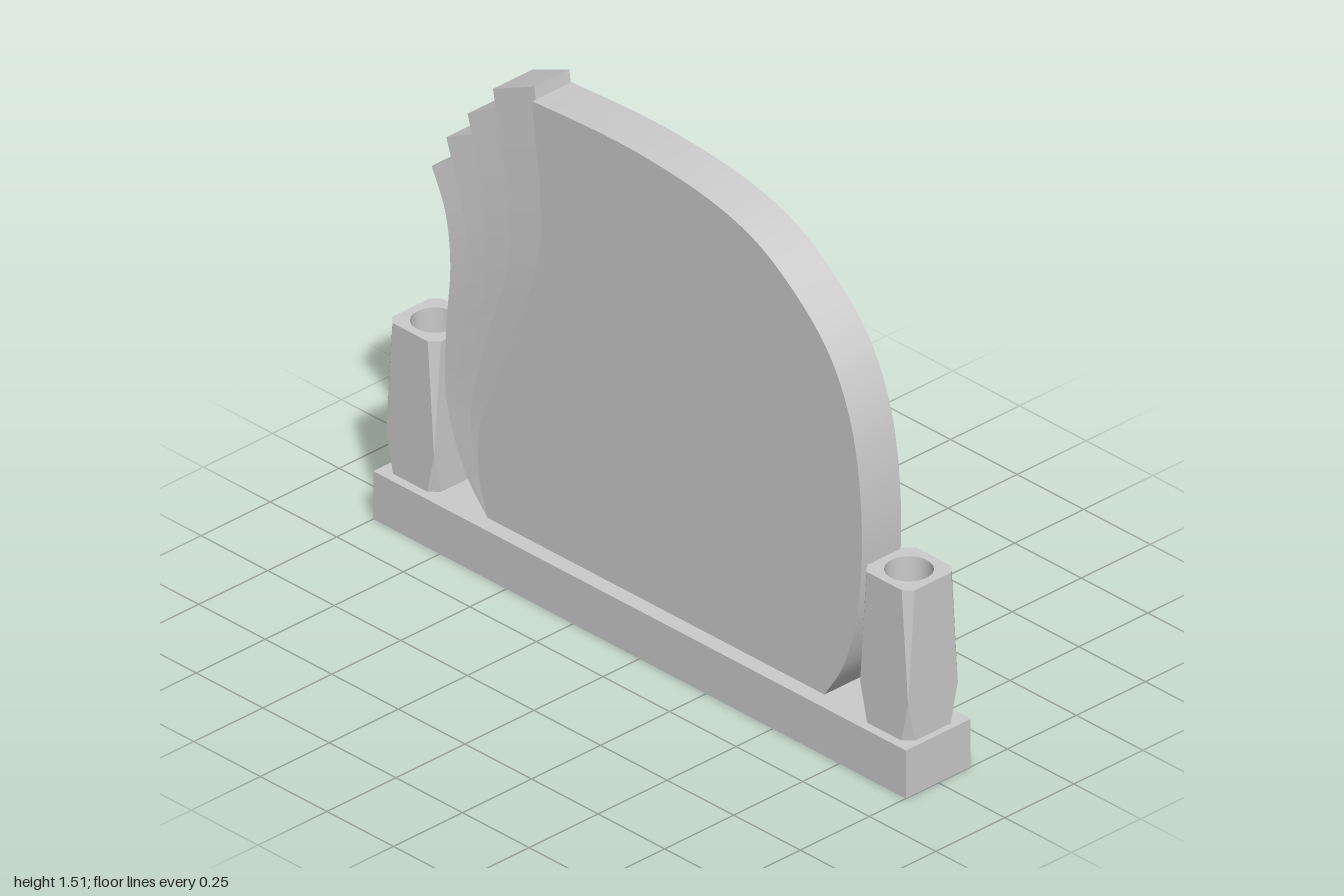
import * as THREE from 'three';
import { toCreasedNormals } from 'three/addons/utils/BufferGeometryUtils.js';

const BASE_TOP = 0.145, BACK = -0.072, FRONT = 0.07;
const material = new THREE.MeshStandardMaterial({ color: 0xcccccc });
const doubleSided = new THREE.MeshStandardMaterial({ color: 0xcccccc, side: THREE.DoubleSide });

function add(parent, name, geometry, mat = material) {
  const mesh = new THREE.Mesh(geometry, mat);
  mesh.name = name;
  parent.add(mesh);
  return mesh;
}

// Skin through rings of [x, y, z], each counterclockwise seen from above
function loft(rings, capTop = true) {
  const pos = [];
  const tri = (a, b, c) => pos.push(...a, ...b, ...c);
  const n = rings[0].length, last = rings[rings.length - 1];
  for (let i = 0; i < rings.length - 1; i++) {
    for (let j = 0; j < n; j++) {
      const k = (j + 1) % n, lo = rings[i], hi = rings[i + 1];
      tri(lo[j], lo[k], hi[k]);
      tri(lo[j], hi[k], hi[j]);
    }
  }
  for (let j = 1; j < n - 1; j++) {
    tri(rings[0][0], rings[0][j + 1], rings[0][j]);
    if (capTop) tri(last[0], last[j], last[j + 1]);
  }
  const g = new THREE.BufferGeometry();
  g.setAttribute('position', new THREE.Float32BufferAttribute(pos, 3));
  g.computeVertexNormals();
  return g;
}

// Smooth rising curve returned as a function x(y)
function edgeCurve(points) {
  const pts = new THREE.SplineCurve(points.map(([x, y]) => new THREE.Vector2(x, y))).getPoints(120);
  return (y) => {
    let i = 1;
    while (i < pts.length - 1 && pts[i].y < y) i++;
    const a = pts[i - 1], b = pts[i];
    return a.x + (b.x - a.x) * THREE.MathUtils.clamp((y - a.y) / (b.y - a.y), 0, 1);
  };
}

// Fold borders from the outer side inward, bottom to top
const edges = [
  [[-0.62, 0.145], [-0.7, 0.24], [-0.757, 0.37], [-0.78, 0.5], [-0.773, 0.68], [-0.76, 0.85], [-0.778, 1], [-0.83, 1.12]],
  [[-0.62, 0.145], [-0.685, 0.25], [-0.735, 0.4], [-0.738, 0.5], [-0.72, 0.65], [-0.698, 0.83], [-0.705, 1], [-0.775, 1.23]],
  [[-0.62, 0.145], [-0.67, 0.25], [-0.706, 0.4], [-0.7, 0.5], [-0.665, 0.68], [-0.628, 0.87], [-0.63, 1.08], [-0.695, 1.335]],
  [[-0.62, 0.145], [-0.66, 0.25], [-0.682, 0.4], [-0.67, 0.52], [-0.605, 0.74], [-0.55, 0.92], [-0.538, 1.12], [-0.6, 1.45]],
  [[-0.62, 0.145], [-0.65, 0.25], [-0.655, 0.37], [-0.62, 0.5], [-0.505, 0.78], [-0.432, 1], [-0.422, 1.2], [-0.46, 1.51]],
].map(edgeCurve);
const foldTops = [[1.12, 1.17], [1.23, 1.275], [1.335, 1.395], [1.45, 1.51]]; // left, right

// One fold: its face sinks toward the right border, deeper near the top
function foldGeometry(i) {
  const rows = 44, rings = [];
  for (let r = 0; r <= rows; r++) {
    const t = r / rows;
    const yl = THREE.MathUtils.lerp(BASE_TOP, foldTops[i][0], t);
    const yr = THREE.MathUtils.lerp(BASE_TOP, foldTops[i][1], t);
    const xl = edges[i](yl), xr = edges[i + 1](yr);
    const zr = FRONT - 0.015 * t;
    rings.push([[xl, yl, FRONT], [xr, yr, zr], [xr, yr, BACK], [xl, yl, BACK]]);
  }
  return toCreasedNormals(loft(rings), 0.6);
}

// Rounded main slab whose left side follows the innermost fold border
function slabGeometry() {
  const shape = new THREE.Shape();
  shape.moveTo(-0.62, BASE_TOP);
  shape.lineTo(0.645, BASE_TOP);
  shape.splineThru([
    [0.72, 0.27], [0.77, 0.45], [0.786, 0.65], [0.775, 0.85], [0.74, 1.02], [0.67, 1.17],
    [0.56, 1.29], [0.4, 1.4], [0.22, 1.457], [0, 1.483], [-0.2, 1.487], [-0.452, 1.475],
  ].map(([x, y]) => new THREE.Vector2(x, y)));
  for (let r = 1; r < 44; r++) {
    const y = THREE.MathUtils.lerp(1.475, BASE_TOP, r / 44);
    shape.lineTo(edges[4](y), y);
  }
  shape.closePath();
  const g = new THREE.ExtrudeGeometry(shape, { depth: FRONT - BACK, bevelEnabled: false, curveSegments: 5 });
  g.translate(0, 0, BACK);
  return toCreasedNormals(g, 0.6);
}

// Square outline with corners cut by c
function cutSquare(h, c) {
  const k = h - c;
  return [[-k, h], [k, h], [h, k], [h, -k], [k, -h], [-k, -h], [-h, -k], [-h, k]];
}

// Square vase with tapering corner cuts and a round well
function createVase(name) {
  const vase = new THREE.Group();
  vase.name = name;
  const h = 0.09, top = 0.6, well = 0.065, depth = 0.36;
  const ring = (y, c) => cutSquare(h, c).map(([x, z]) => [x, y, z]);
  add(vase, 'vaseBody', loft([ring(BASE_TOP, 0.026), ring(0.26, 0), ring(top, 0.024)], false));

  const rim = new THREE.Shape(cutSquare(h, 0.024).map(([x, z]) => new THREE.Vector2(x, z)));
  rim.holes.push(new THREE.Path().absarc(0, 0, well, 0, Math.PI * 2, true));
  add(vase, 'vaseRim', new THREE.ShapeGeometry(rim, 32).rotateX(-Math.PI / 2).translate(0, top, 0));

  const wall = new THREE.CylinderGeometry(well, well, depth, 32, 1, true);
  add(vase, 'vaseWell', wall.translate(0, top - depth / 2, 0), doubleSided);
  const floor = new THREE.CircleGeometry(well, 32);
  add(vase, 'vaseWellFloor', floor.rotateX(-Math.PI / 2).translate(0, top - depth, 0));
  return vase;
}

export function createModel() {
  const model = new THREE.Group();
  model.name = 'headstone';

  // Plinth
  add(model, 'plinth', new THREE.BoxGeometry(2, BASE_TOP, 0.235).translate(0, BASE_TOP / 2, 0));

  // Upright stone with draped folds along its right side
  add(model, 'slab', slabGeometry());
  foldTops.forEach((_, i) => add(model, `drapeFold${i + 1}`, foldGeometry(i)));

  // Vases at both ends
  for (const [name, side] of [['leftVase', 1], ['rightVase', -1]]) {
    const vase = createVase(name);
    vase.position.x = side * 0.89;
    model.add(vase);
  }
  return model;
}
